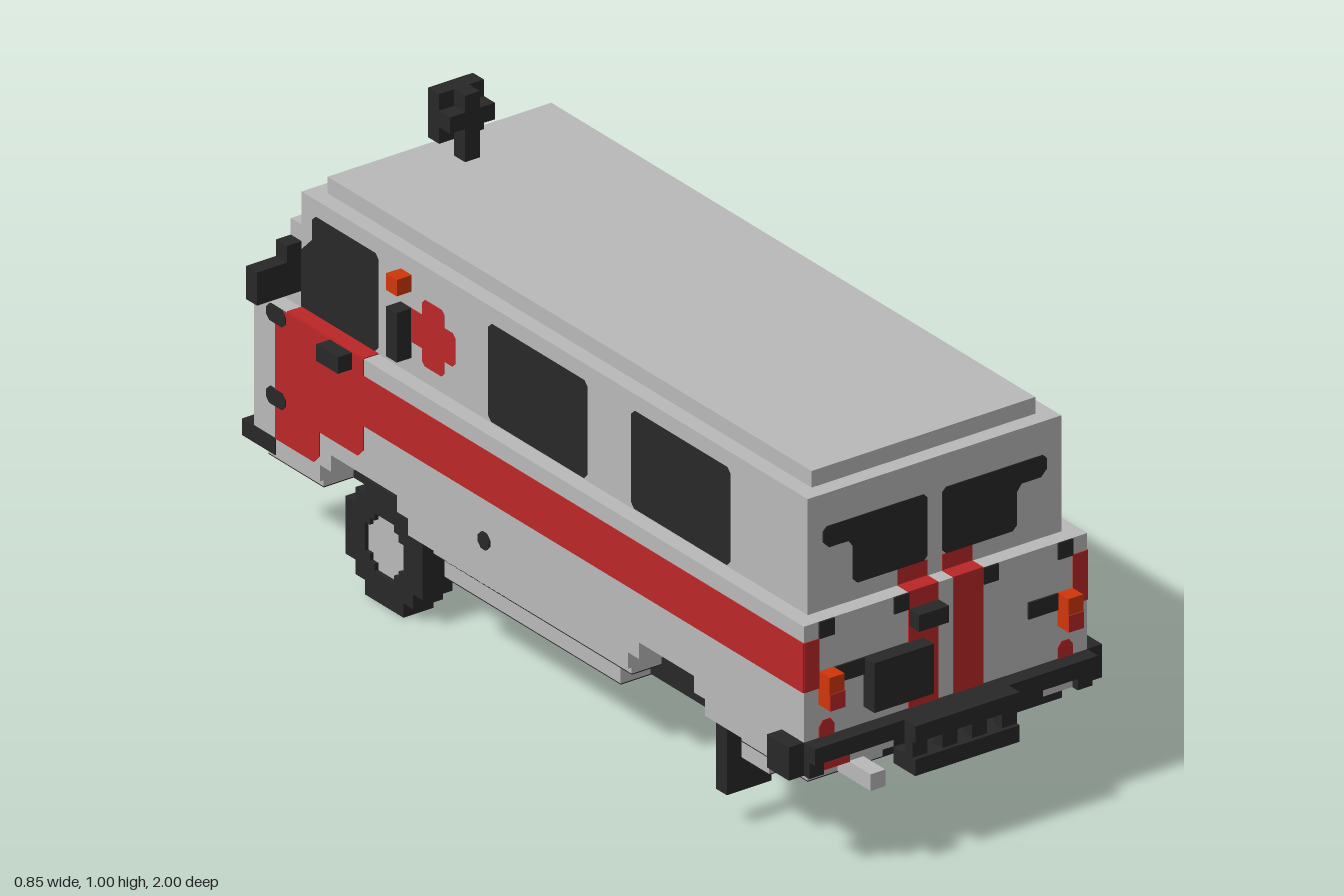
import * as THREE from 'three';

const mat = (name, color) => Object.assign(new THREE.MeshStandardMaterial({ color }), { name });

export function createModel() {
  const model = new THREE.Group();
  model.name = 'van';
  model.scale.setScalar(1 / 54); // all sizes below are in small blocks, 54 to a unit

  const grey = mat('bodyGrey', 0xb9b9b9);
  const dark = mat('darkTrim', 0x282828);
  const red = mat('redPaint', 0xbb2727);
  const orange = mat('orangeLamp', 0xd0360a);
  const T = 0.12; // thickness of painted plates

  const add = (name, geo, m) => {
    const mesh = new THREE.Mesh(geo, m);
    mesh.name = name;
    model.add(mesh);
  };
  const box = (name, m, x0, x1, y0, y1, z0, z1) => {
    const g = new THREE.BoxGeometry(x1 - x0, y1 - y0, z1 - z0);
    add(name, g.translate((x0 + x1) / 2, (y0 + y1) / 2, (z0 + z1) / 2), m);
  };
  // the same box on both sides
  const pair = (name, m, x0, x1, ...r) => {
    box(name + 'Left', m, x0, x1, ...r);
    box(name + 'Right', m, -x1, -x0, ...r);
  };
  // grey floor section with a dark underside
  const floorBox = (name, x0, x1, y0, y1, z0, z1) => {
    box(name, grey, x0, x1, y0, y1, z0, z1);
    box(name + 'Underside', dark, x0, x1, y0 - T, y0, z0, z1);
  };
  const shapeOf = pts => new THREE.Shape(pts.map(p => new THREE.Vector2(...p)));
  // outline in (z, y), pushed out from x0 to x1
  const sideExtrude = (name, m, shape, x0, x1) => {
    const g = new THREE.ExtrudeGeometry(shape, { depth: x1 - x0, bevelEnabled: false });
    add(name, g.rotateY(-Math.PI / 2).translate(x1, 0, 0), m);
  };
  const sidePair = (name, m, pts, x0, x1) => {
    sideExtrude(name + 'Left', m, shapeOf(pts), x0, x1);
    sideExtrude(name + 'Right', m, shapeOf(pts), -x1, -x0);
  };
  const chamfered = (a0, a1, b0, b1, c = 0.6) => [
    [a0 + c, b0], [a1 - c, b0], [a1, b0 + c], [a1, b1 - c],
    [a1 - c, b1], [a0 + c, b1], [a0, b1 - c], [a0, b0 + c]];

  // lower body with stepped wheel arches, and a narrower skirt under it
  const arch = (z0, z1) => [
    [z0, 12], [z0 + 2, 12], [z0 + 2, 14], [z0 + 4, 14], [z0 + 4, 16],
    [z1 - 4, 16], [z1 - 4, 14], [z1 - 2, 14], [z1 - 2, 12], [z1, 12]];
  sideExtrude('lowerBody', grey, shapeOf([
    [-50, 12], ...arch(-40, -20), ...arch(16, 34), [50, 12], [50, 30], [-50, 30]]), -19, 19);
  for (const [z0, z1] of [[-50, -40], [-20, 16], [34, 48]])
    floorBox('skirt', -17, 17, 10, 12, z0, z1);

  // upper body, stepped cab front and roof
  box('upperBody', grey, -17, 17, 30, 44, -44, 48);
  box('cabFrontUpper', grey, -17, 17, 30, 40, -46, -44);
  box('cabFrontLower', grey, -17, 17, 30, 36, -48, -46);
  box('roofCap', grey, -15, 15, 44, 46, -42, 46);

  // windscreen follows the cab steps
  box('windscreenTop', dark, -15, 15, 40, 42, -44 - T, -44);
  box('windscreenMiddle', dark, -15, 15, 36, 40 + T, -46 - T, -44);
  box('windscreenBottom', dark, -15, 15, 32, 36 + T, -48 - T, -46);
  box('wiperLeft', dark, 3, 17, 30, 32, -50, -48);
  box('wiperRight', dark, -17, -9, 30, 32, -50, -48);
  pair('mirror', dark, 17, 23, 32, 36, -46, -44);
  pair('mirrorTop', dark, 17, 19, 36, 38, -46, -44);

  // cab face
  pair('bonnetStripe', red, 5, 9, 14, 30 + T, -50 - T, -48);
  box('grille', dark, -8, 8, 15, 22, -50 - 2 * T, -50);
  pair('headlamp', grey, 11, 15, 20, 24, -52, -50);
  pair('indicator', orange, 13, 15, 16, 18, -52, -50);
  box('cabBumper', dark, -19, 19, 12, 14, -52, -50);
  box('cabBumperCentre', dark, -7, 7, 12, 16, -54, -52);
  pair('cabBumperEnd', dark, 18, 19 + T, 12, 14, -52, -46);

  // side stripes, door paint and windows
  pair('sideStripe', red, 19, 19 + T, 22, 28, -30, 50);
  sidePair('doorPaint', red, [
    [-46, 14], [-39, 14], [-38, 15], [-38, 18], [-31, 18], [-30, 19], [-30, 30], [-46, 30]], 19, 19 + T);
  pair('ledgePaint', red, 17, 19, 30, 30 + T, -44, -30);
  sidePair('cabWindow', dark, [
    [-44, 30.2], [-30.6, 30.2], [-30, 30.8], [-30, 41.4], [-30.6, 42], [-41.4, 42],
    [-42, 41.4], [-42, 39], [-43, 38], [-44, 37]], 17, 17 + T);
  sidePair('sideWindow', dark, chamfered(16, 34, 30.2, 42), 17, 17 + T);
  sideExtrude('middleWindow', dark, shapeOf(chamfered(-10, 8, 30.2, 42)), -17 - T, -17);

  // side cross, vents, lamps, hinges and handles
  sidePair('redCross', red, [
    [-22, 32.5], [-21.5, 32], [-18.5, 32], [-18, 32.5], [-18, 34], [-16.5, 34], [-16, 34.5],
    [-16, 37.5], [-16.5, 38], [-18, 38], [-18, 39.5], [-18.5, 40], [-21.5, 40], [-22, 39.5],
    [-22, 38], [-24, 38], [-24, 34], [-22, 34]], 17, 17 + T);
  pair('sideVent', dark, 17, 19, 32, 38, -26, -24);
  pair('sideLamp', orange, 17, 19, 40, 42, -26, -24);
  pair('doorHandle', dark, 19, 21, 28, 30, -36, -32);
  box('slidingDoorHandle', dark, 19, 21, 28, 30, 6, 10);
  sidePair('upperHinge', dark, chamfered(-47.5, -44, 28, 30), 19, 19 + 2 * T);
  sidePair('lowerHinge', dark, chamfered(-47.5, -44, 18, 20), 19, 19 + 2 * T);
  box('fuelFlap', grey, 19, 19 + T, 16, 22, -22, -16);
  sideExtrude('fuelCap', dark, shapeOf(chamfered(-20, -18, 16, 18)), 19, 19 + 2 * T);
  sideExtrude('fillerCap', dark, shapeOf(chamfered(-9, -7, 16, 18)), -19 - 2 * T, -19);

  // rear doors
  for (const s of [-1, 1]) {
    const pts = [[1, 32.5], [1.5, 32], [10.4, 32], [11, 32.6], [11, 36.6], [11.6, 37.4], [14.2, 37.4],
      [15, 38.2], [15, 39.5], [14.5, 40], [1.5, 40], [1, 39.5]].map(([x, y]) => [s * x, y]);
    const g = new THREE.ExtrudeGeometry(shapeOf(pts), { depth: T, bevelEnabled: false });
    add(s > 0 ? 'rearWindowLeft' : 'rearWindowRight', g.translate(0, 0, 48), dark);
  }
  pair('rearStripe', red, 1, 5, 16, 30 + T, 48, 50 + T);
  pair('rearStripeTop', red, 1, 5, 30, 32, 48, 48 + T);
  pair('rearCornerPaint', red, 17, 19, 22, 28, 50, 50 + T);
  pair('rearUpperHinge', dark, 15, 17, 28, 30, 50, 50 + 2 * T);
  pair('rearInnerHinge', dark, 5, 7, 28, 30, 50, 50 + 2 * T);
  pair('rearLowerHinge', dark, 11, 15, 22, 24, 50, 50 + 2 * T);
  box('rearHandle', dark, -5, -1, 26, 28, 50, 52);
  box('rearPlate', dark, -11, -3, 18, 24, 50, 52);
  pair('rearIndicator', orange, 15, 17, 20, 24, 50, 52);
  pair('rearTailLamp', red, 15, 17, 20, 22, 52, 52 + T);
  const reflector = [[15, 16], [17, 16], [17, 17.3], [16.5, 18], [15.5, 18], [15, 17.3]];
  for (const x of [0, -32]) {
    const g = new THREE.ExtrudeGeometry(shapeOf(reflector), { depth: T, bevelEnabled: false });
    add('rearReflector', g.translate(x, 0, 50), red);
  }

  // rear bumper and step on posts
  box('rearBumper', dark, -19, 19, 14, 16, 50, 52);
  pair('rearBumperEnd', dark, 19, 21, 12, 16, 46, 50);
  pair('rearBumperCorner', dark, 17, 19, 12, 14, 50, 51);
  box('rearBumperCentre', dark, -7, 7, 14, 16, 52, 54);
  box('rearStep', dark, -7, 7, 10, 12, 50, 54);
  for (const x of [-7, -3, 1, 5]) box('stepPost', dark, x, x + 2, 12, 14, 52, 53.5);
  box('rearValance', dark, -7, 13, 12, 14, 50, 50 + T);
  box('rearValanceLower', dark, -7, 17, 10, 12, 48, 48 + T);
  box('fogLamp', red, -17, -13, 12, 14, 50, 50 + 2 * T);
  box('exhaust', grey, -13, -11, 10, 12, 48, 54);

  // underside
  box('underbody', dark, -13, 13, 10 - T, 16, -49.5, 47.5);
  floorBox('floorMiddle', -17, 17, 8, 10, -18, 14);
  floorBox('floorRear', -17, 17, 8, 10, 36, 41);
  box('floorRearTrim', dark, -7, 11, 8, 10, 41, 41 + T);
  floorBox('chassis', -9, 5, 6, 8, -22, 22);
  box('rearAxle', dark, -13, 15, 8, 10, 14, 36);
  box('cabAxle', dark, -13, 15, 8, 10, -30, -18);
  box('differential', dark, -3, 3, 6, 8, 22, 27);
  box('mudFlap', dark, -19, -13, 4, 12, 34, 36);

  // wheel: stepped ring with a pale hub
  const ring = r => [[-r, -r / 2], [-r * 0.75, -r / 2], [-r * 0.75, -r * 0.75], [-r / 2, -r * 0.75], [-r / 2, -r],
    [r / 2, -r], [r / 2, -r * 0.75], [r * 0.75, -r * 0.75], [r * 0.75, -r / 2], [r, -r / 2],
    [r, r / 2], [r * 0.75, r / 2], [r * 0.75, r * 0.75], [r / 2, r * 0.75], [r / 2, r],
    [-r / 2, r], [-r / 2, r * 0.75], [-r * 0.75, r * 0.75], [-r * 0.75, r / 2], [-r, r / 2]]
    .map(([z, y]) => [z - 29, y + 7]);
  const tyre = shapeOf(ring(7));
  tyre.holes.push(new THREE.Path(ring(3.5).map(p => new THREE.Vector2(...p))));
  sideExtrude('tyre', dark, tyre, -17, -13);
  sideExtrude('wheelHub', grey, shapeOf(ring(3.5)), -16.5, -13.2);

  // roof searchlight with a cross-shaped back
  box('searchlightStem', dark, -1, 1, 46, 48, -38, -36);
  box('searchlight', dark, -3, 3, 48, 54, -40, -38);
  box('searchlightLens', grey, -1, 1, 50, 52, -40 - T, -40);
  box('searchlightBackUpright', dark, -1, 1, 48, 54, -38, -36);
  box('searchlightBackCross', dark, -3, 3, 50, 52, -38, -36);

  return model;
}
